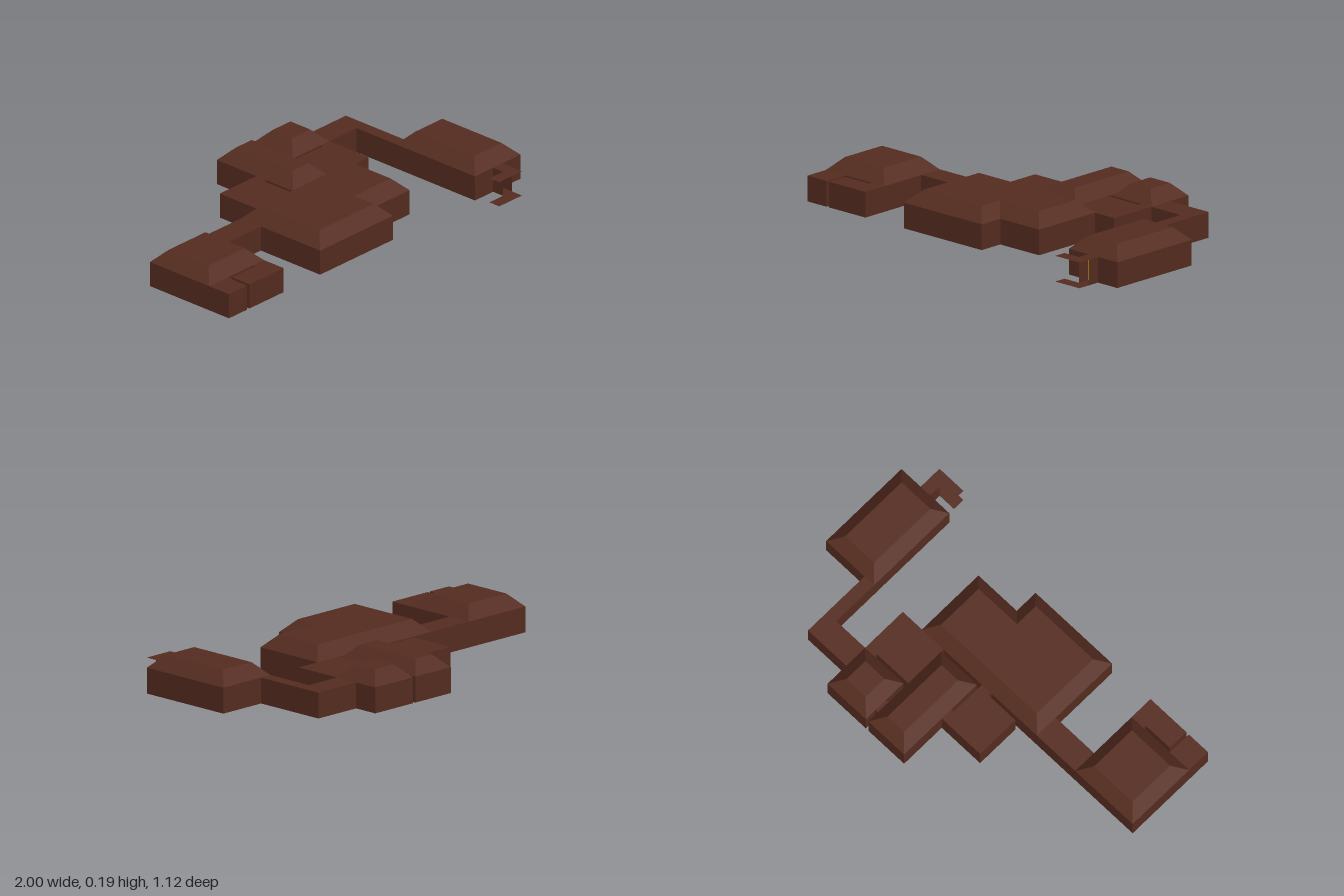
import * as THREE from 'three';

const WALL = 0.125, ROOF = 0.1875, INSET = 0.0625;

// Double sided because the entry passage is open and paper thin
const brown = new THREE.MeshStandardMaterial({ color: 0x552c20, side: THREE.DoubleSide });
brown.name = 'brown stone';
const yellow = new THREE.MeshStandardMaterial({ color: 0xffff00 });
yellow.name = 'yellow door';

const rect = (x0, z0, x1, z1) => [[x0, z0], [x1, z0], [x1, z1], [x0, z1]];

// Moves every corner of a right-angled outline inwards
function inset(outline, d) {
  const n = outline.length;
  return outline.map((p, i) => {
    const a = outline[(i + n - 1) % n], b = outline[(i + 1) % n];
    const dx = Math.sign(b[0] - p[0]) + Math.sign(p[0] - a[0]);
    const dz = Math.sign(b[1] - p[1]) + Math.sign(p[1] - a[1]);
    return [p[0] - dz * d, p[1] + dx * d];
  });
}

// Flat cap over an outline, facing up or down
function addCap(pos, outline, y, up) {
  const pts = outline.map(([x, z]) => new THREE.Vector2(x, z));
  for (const [i, j, k] of THREE.ShapeUtils.triangulateShape(pts, [])) {
    const a = outline[i], b = outline[j], c = outline[k];
    const ny = (b[1] - a[1]) * (c[0] - a[0]) - (b[0] - a[0]) * (c[1] - a[1]);
    const tri = (ny > 0) === up ? [a, b, c] : [a, c, b];
    for (const [x, z] of tri) pos.push(x, y, z);
  }
}

// Band of quads between two outlines
function addBand(pos, low, y0, high, y1) {
  low.forEach((p, i) => {
    const j = (i + 1) % low.length;
    const aL = [p[0], y0, p[1]], bL = [low[j][0], y0, low[j][1]];
    const aU = [high[i][0], y1, high[i][1]], bU = [high[j][0], y1, high[j][1]];
    pos.push(...aL, ...aU, ...bL, ...bL, ...aU, ...bU);
  });
}

function toMesh(name, pos) {
  const g = new THREE.BufferGeometry();
  g.setAttribute('position', new THREE.Float32BufferAttribute(pos, 3));
  g.computeVertexNormals();
  const m = new THREE.Mesh(g, brown);
  m.name = name;
  return m;
}

function block(name, outline, roofed) {
  const pos = [];
  addCap(pos, outline, 0, false);
  addBand(pos, outline, 0, outline, WALL);
  if (roofed) {
    const top = inset(outline, INSET);
    addBand(pos, outline, WALL, top, ROOF);
    addCap(pos, top, ROOF, true);
  } else {
    addCap(pos, outline, WALL, true);
  }
  return toMesh(name, pos);
}

export function createModel() {
  const model = new THREE.Group();
  model.name = 'roomComplex';

  // Large rooms with bevelled roofs
  const rooms = {
    westRoom: rect(-1, -0.0625, -0.625, 0.3125),
    mainHall: [[-0.375, -0.0625], [0.375, -0.0625], [0.375, 0.3125],
      [0.125, 0.3125], [0.125, 0.4375], [-0.375, 0.4375]],
    northRoom: rect(0, -0.5625, 0.234, -0.078),
    northEastRoom: rect(0.25, -0.5625, 0.5, -0.3125),
    eastRoom: rect(0.6875, -0.0625, 1, 0.4375),
  };
  for (const [name, outline] of Object.entries(rooms)) model.add(block(name, outline, true));

  // Low rooms, corridors and short links with flat tops
  const low = {
    westCorridor: rect(-0.625, -0.0625, -0.375, 0.0625),
    southWestCloset: rect(-1, 0.3125, -0.875, 0.4375),
    southWestChamber: rect(-0.859, 0.328, -0.625, 0.4375),
    southWestLink: rect(-0.703, 0.3125, -0.625, 0.328),
    sideChamber: rect(-0.25, -0.3125, -0.0156, -0.078),
    sideChamberLink: rect(-0.0156, -0.3125, 0, -0.25),
    sideChamberHallLink: rect(-0.078, -0.078, -0.0156, -0.0625),
    innerChamber: rect(0.234, -0.297, 0.5, -0.0625),
    innerChamberLink: rect(0.4375, -0.3125, 0.5, -0.297),
    northLink: rect(0.234, -0.5, 0.25, -0.43),
    eastCorridor: [[0.5, -0.4375], [0.75, -0.4375], [0.75, -0.0625],
      [0.6875, -0.0625], [0.6875, -0.3125], [0.5, -0.3125]],
  };
  for (const [name, outline] of Object.entries(low)) model.add(block(name, outline, false));

  // Open entry passage: floor, ceiling and two side walls
  const path = [[0.8125, 0.4375], [0.875, 0.4375], [0.875, 0.5625],
    [0.719, 0.5625], [0.719, 0.5], [0.8125, 0.5]];
  for (const [name, y, up] of [['entryFloor', 0, false], ['entryCeiling', WALL, true]]) {
    const pos = [];
    addCap(pos, path, y, up);
    model.add(toMesh(name, pos));
  }
  for (const [name, x, side] of [['entryWallLeft', 0.875, 1], ['entryWallRight', 0.8125, -1]]) {
    const wall = new THREE.Mesh(new THREE.PlaneGeometry(0.0625, WALL), brown);
    wall.rotation.y = side * Math.PI / 2;
    wall.position.set(x, WALL / 2, 0.46875);
    wall.name = name;
    model.add(wall);
  }

  // Door at the inner end of the passage
  const door = new THREE.Mesh(new THREE.BoxGeometry(0.0615, WALL - 0.001, 0.004), yellow);
  door.position.set(0.84375, WALL / 2, 0.4385);
  door.name = 'door';
  model.add(door);

  return model;
}
